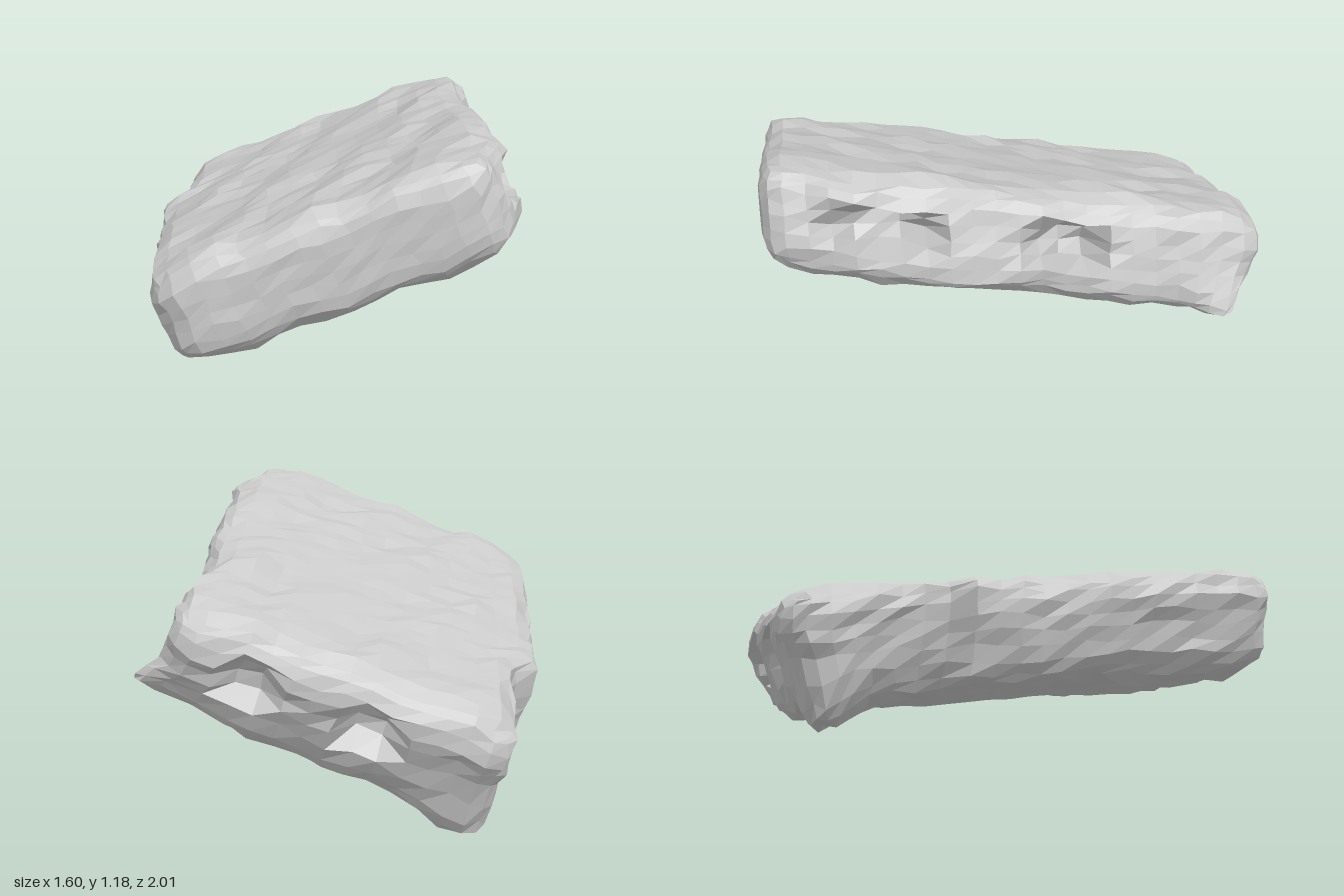
import * as THREE from 'three';

const HALF = new THREE.Vector3(0.66, 0.24, 1);
const ROUND = 0.13;

// Repeatable jitter, equal for coincident vertices
function noise(p, k) {
  const q = (v) => Math.round(v * 1000);
  const s = Math.sin(q(p.x) * 0.127 + q(p.y) * 0.311 + q(p.z) * 0.747 + k * 17.3) * 4375.85;
  return s - Math.floor(s) - 0.5;
}
const smooth = THREE.MathUtils.smoothstep;
const lerp = THREE.MathUtils.lerp;
const bump = (a, b, r) => Math.exp(-(a * a + b * b) / (r * r));

// Tilt of the slab, with shallow terraces across it
function slope(x, z) {
  const h = 0.37 * x + 0.18 * z;
  return h + 0.013 * Math.sin((2 * Math.PI * (h - 0.05)) / 0.14);
}

// Hollows: centre along the side, half length, half height, depth
const sidePockets = [[0.53, 0.27, 0.13, 0.2], [-0.2, 0.18, 0.13, 0.2]];
const backPockets = [[0.33, 0.17, 0.12, 0.14], [-0.13, 0.15, 0.12, 0.14]];
function hollow(list, along, y) {
  let depth = 0;
  for (const [c, len, height, d] of list) {
    const r = Math.hypot((along - c) / len, y / height);
    depth = Math.max(depth, d * (1 - smooth(r, 0.45, 1)));
  }
  return depth;
}

function createSlab() {
  const geo = new THREE.BoxGeometry(HALF.x * 2, HALF.y * 2, HALF.z * 2, 14, 8, 22);
  const pos = geo.attributes.position;
  const lo = HALF.clone().subScalar(ROUND).negate();
  const hi = lo.clone().negate();
  const p = new THREE.Vector3(), inner = new THREE.Vector3(), n = new THREE.Vector3();
  for (let i = 0; i < pos.count; i++) {
    p.fromBufferAttribute(pos, i);
    // Rounded edges
    inner.copy(p).clamp(lo, hi);
    n.copy(p).sub(inner).normalize();
    p.copy(inner).addScaledVector(n, ROUND);
    const { x, y, z } = p;
    const down = -y / HALF.y;
    const low = smooth(down, 0.2, 0.9);

    // Uneven outline, with a step in the left edge and a sheared thickness
    const left = lerp(-0.63, -0.75, smooth(z, -0.42, -0.25));
    const right = 0.63 + 0.04 * (1 - smooth(z, -0.75, -0.5)) - 0.09 * smooth(z, 0.6, 0.9);
    let px = lerp(left, right, (x / HALF.x + 1) / 2) + 0.075 * down;
    let pz = z + 0.13 * smooth(down, -0.4, 1) * (1 - smooth(z, -1, -0.6));

    // Hollows in the right and back sides
    if (n.x > 0.6) px -= hollow(sidePockets, z, y);
    if (n.z < -0.6) pz += hollow(backPockets, x, y);

    // Sagging back rim and drawn-out lower corners
    px += 0.12 * low * bump(x - 0.64, z + 0.93, 0.13);
    const sag = 0.06 * (1 - smooth(z, -0.9, -0.3)) * (1 - smooth(x, 0.2, 0.5))
      + 0.1 * bump(x + 0.6, z + 0.95, 0.2);
    const py = 0.66 + y + slope(px, pz) - low * sag + 0.022 * noise(p, 2);

    pos.setXYZ(i, px + 0.02 * noise(p, 1), Math.max(py, 0), pz + 0.01 * noise(p, 3));
  }
  geo.computeVertexNormals();
  return geo;
}

export function createModel() {
  const group = new THREE.Group();
  group.name = 'tiltedSlab';
  const slab = new THREE.Mesh(
    createSlab(),
    new THREE.MeshStandardMaterial({ color: 0xcccccc, flatShading: true })
  );
  slab.name = 'slab';
  group.add(slab);
  return group;
}
